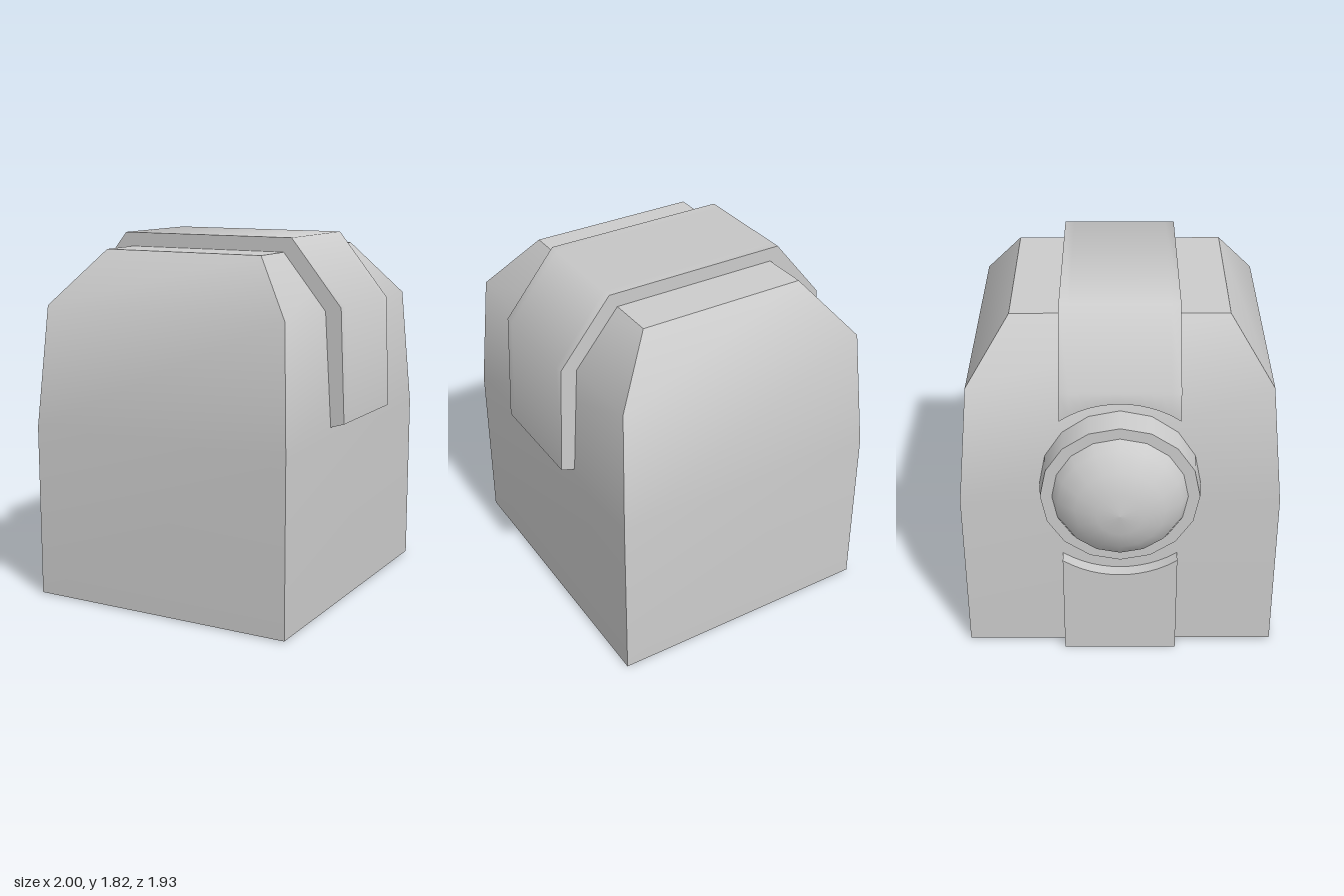
import * as THREE from 'three';
import { toCreasedNormals } from 'three/addons/utils/BufferGeometryUtils.js';

const material = new THREE.MeshStandardMaterial({ color: 0xcccccc });

// Skin closed loops of [x, y, z]; caps pair point i with point n-1-i, so U-shaped loops work too.
function loft(loops, crease) {
  const n = loops[0].length, last = (loops.length - 1) * n, index = [];
  const quad = (a, b, c, d) => index.push(a, b, c, a, c, d);
  for (let s = 0; s < last; s += n)
    for (let i = 0; i < n; i++) {
      const j = (i + 1) % n;
      quad(s + i, s + j, s + n + j, s + n + i);
    }
  for (let i = 0; i < n / 2 - 1; i++) {
    quad(n - 1 - i, n - 2 - i, i + 1, i);
    quad(last + i, last + i + 1, last + n - 2 - i, last + n - 1 - i);
  }
  const g = new THREE.BufferGeometry();
  g.setAttribute('position', new THREE.Float32BufferAttribute(loops.flat(2), 3));
  g.setIndex(index);
  return toCreasedNormals(g.toNonIndexed(), crease);
}

// Strap piece: a [y, z] outline swept across the width, outline depending on x.
function strap(outline) {
  const half = 0.28, steps = 12, loops = [];
  for (let i = 0; i <= steps; i++) {
    const x = -half + (2 * half * i) / steps;
    loops.push(outline(x).map(([y, z]) => [x, y, z]));
  }
  return loft(loops, 1.0);
}

export function createModel() {
  const group = new THREE.Group();
  const add = (name, geometry) => {
    const mesh = new THREE.Mesh(geometry, material);
    mesh.name = name;
    group.add(mesh);
    return mesh;
  };

  // Tapered body: half width, height, half depth at each level
  const levels = [[0.767, 0.005, 0.689], [0.767, 0.87, 0.689], [0.709, 1.475, 0.65], [0.512, 1.745, 0.427]];
  add('body', loft(levels.map(([w, y, d]) => [[w, y, d], [w, y, -d], [-w, y, -d], [-w, y, d]]), 0.75));

  // Strap over the top, ending at the back in a round cut above the knob
  const cutY = 0.955, cutR = 0.485;
  const rise = (x) => Math.sqrt(cutR * cutR - x * x);
  const outerZ = (y) => -0.73 - (1.495 - y) * 0.045;
  add('upperStrap', strap((x) => {
    const y = cutY + rise(x);
    return [
      [y, outerZ(y)], [1.495, -0.73], [1.815, -0.468], [1.815, 0.468], [1.495, 0.73], [0.94, 0.755],
      [0.915, 0.675], [1.47, 0.64], [1.735, 0.42], [1.735, -0.42], [1.47, -0.64], [y, -0.642],
    ];
  }));

  // Strap below the knob
  add('lowerStrap', strap((x) => {
    const y = cutY - rise(x);
    return [[0, -0.752], [y, -0.752], [y, -0.68], [0, -0.68]];
  }));

  // Round knob on the back: collar and shallow dome
  const collar = new THREE.CylinderGeometry(0.375, 0.385, 0.146, 16);
  collar.rotateX(-Math.PI / 2);
  add('knobCollar', collar).position.set(0, 0.975, -0.723);
  const profile = [[0.32, 0], [0.29, 0.055], [0.21, 0.115], [0.11, 0.152], [0, 0.163]];
  const dome = new THREE.LatheGeometry(profile.map(([r, y]) => new THREE.Vector2(r, y)), 16);
  dome.rotateX(-Math.PI / 2);
  add('knobDome', dome).position.set(0, 0.975, -0.795);

  group.rotation.y = 0.482;
  return group;
}
